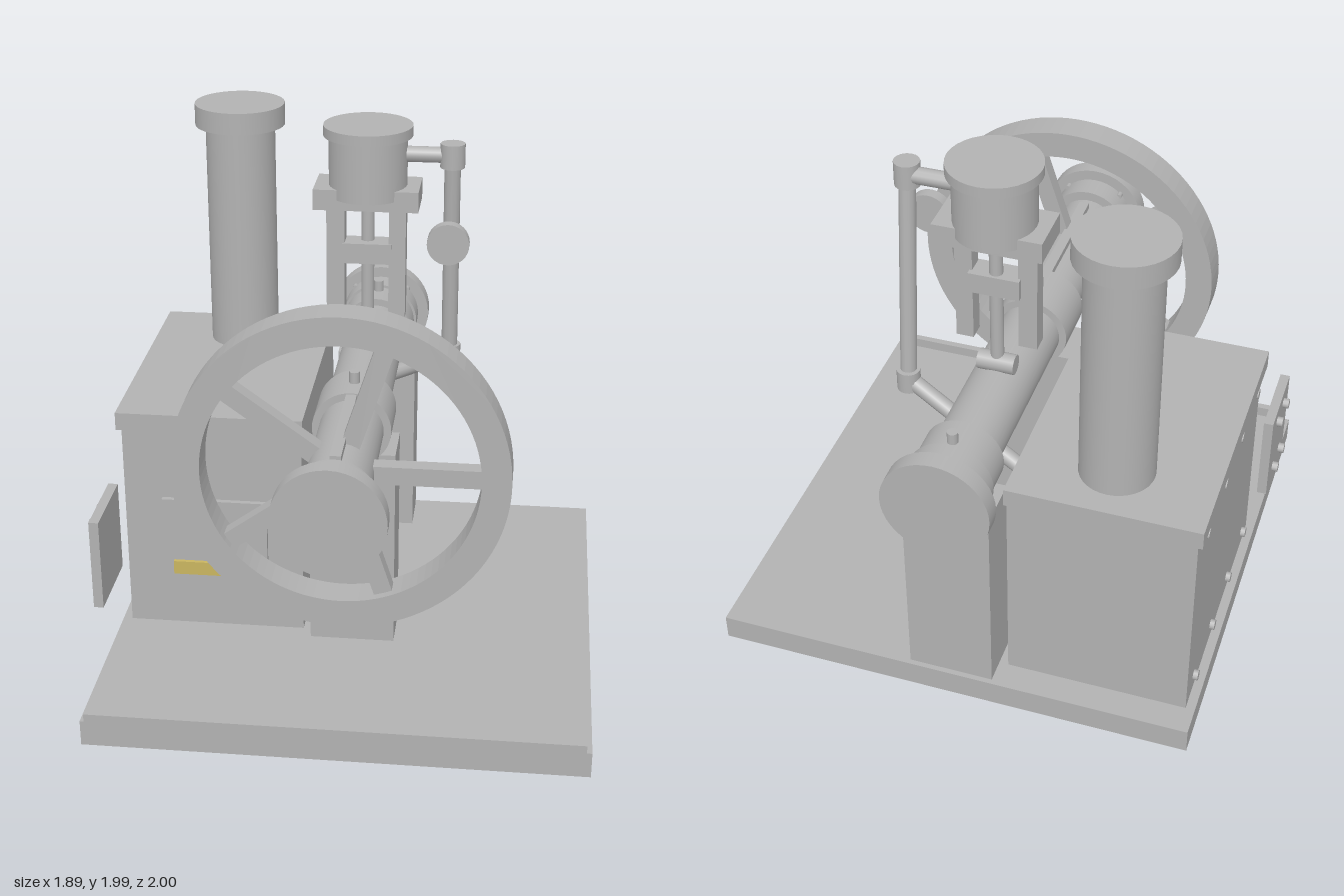
import * as THREE from 'three';

const steel = new THREE.MeshStandardMaterial({ color: 0xb2b2b2 });
steel.name = 'grey steel';
const brass = new THREE.MeshStandardMaterial({ color: 0xc9b560 });
brass.name = 'brass';

const AX = 0.025; // x of the main shaft and vertical cylinder
const AY = 1.0;   // height of the main shaft
const CZ = -0.325; // z of the vertical cylinder

export function createModel() {
  const model = new THREE.Group();
  model.name = 'steamEngine';

  const add = (name, geometry, material = steel, parent = model) => {
    const mesh = new THREE.Mesh(geometry, material);
    mesh.name = name;
    parent.add(mesh);
    return mesh;
  };
  // Box given by its minimum and maximum on each axis
  const box = (name, x0, x1, y0, y1, z0, z1, material) => {
    const mesh = add(name, new THREE.BoxGeometry(x1 - x0, y1 - y0, z1 - z0), material);
    mesh.position.set((x0 + x1) / 2, (y0 + y1) / 2, (z0 + z1) / 2);
    return mesh;
  };
  // Round bar between two points
  const rod = (name, a, b, r, sides = 32) => {
    const p = new THREE.Vector3(...a), q = new THREE.Vector3(...b);
    const d = q.clone().sub(p);
    const mesh = add(name, new THREE.CylinderGeometry(r, r, d.length(), sides));
    mesh.position.copy(p).add(q).multiplyScalar(0.5);
    mesh.quaternion.setFromUnitVectors(new THREE.Vector3(0, 1, 0), d.normalize());
    return mesh;
  };
  const shaftPart = (name, z0, z1, r) => rod(name, [AX, AY, z0], [AX, AY, z1], r, 40);

  // Base and front strip
  box('base', -0.89, 0.945, 0, 0.1, -0.92, 0.92);
  box('frontStrip', -0.87, 0.925, 0.06, 0.143, 0.91, 0.938);

  // Boiler box, lid, fire door and riveted side
  box('boilerBox', -0.855, -0.17, 0.1, 0.93, -0.81, 0.205);
  box('boilerLid', -0.875, -0.165, 0.93, 1.0, -0.83, 0.215);
  box('fireDoor', -0.71, -0.305, 0.32, 0.65, 0.2, 0.225);
  box('doorBar', -0.67, -0.355, 0.335, 0.39, 0.22, 0.24, brass);
  for (const y of [0.165, 0.885])
    for (let i = 0; i < 4; i++) {
      const z = -0.7 + i * 0.265;
      rod('boilerRivet', [-0.85, y, z], [-0.873, y, z], 0.02, 12);
    }

  // Side plate with four bolts
  box('sidePlate', -0.927, -0.89, 0.32, 0.68, 0.175, 0.495);
  for (const y of [0.385, 0.62])
    for (const z of [0.275, 0.395])
      rod('plateBolt', [-0.92, y, z], [-0.95, y, z], 0.02, 12);

  // Chimney
  rod('chimney', [-0.51, 1.0, -0.605], [-0.51, 1.92, -0.605], 0.137);
  rod('chimneyCap', [-0.51, 1.9, -0.605], [-0.51, 1.985, -0.605], 0.177);

  // Main shaft with flanges, collars and bearing posts
  shaftPart('shaft', -0.95, 0.95, 0.119);
  for (const s of [-1, 1]) {
    shaftPart('endFlange', s * 0.93, s, 0.2);
    shaftPart('endCollar', s * 0.83, s * 0.935, 0.157);
    for (const dx of [-0.11, 0.11])
      for (const dy of [-0.11, 0.11])
        rod('flangeBolt', [AX + dx, AY + dy, s * 0.905], [AX + dx, AY + dy, s * 0.935], 0.012, 8);
  }
  shaftPart('frontBearing', 0.05, 0.265, 0.147);
  shaftPart('rearBearing', -0.84, -0.69, 0.147);
  box('frontPost', -0.135, 0.188, 0.1, 0.9, 0.06, 0.262);
  box('rearPost', -0.135, 0.188, 0.1, 0.9, -0.9, -0.7);
  for (const z of [0.16, -0.8]) rod('oilerPin', [AX, 1.12, z], [AX, 1.19, z], 0.02, 12);
  box('shaftKey', 0.005, 0.045, 1.1, 1.142, 0.25, 0.775);

  // Flywheel: rim and five spokes
  const flywheel = new THREE.Group();
  flywheel.name = 'flywheel';
  flywheel.position.set(AX, AY, 0.535);
  model.add(flywheel);
  const ring = new THREE.Shape().absarc(0, 0, 0.6, 0, Math.PI * 2, false);
  ring.holes.push(new THREE.Path().absarc(0, 0, 0.495, 0, Math.PI * 2, true));
  add('rim', new THREE.ExtrudeGeometry(ring, { depth: 0.123, bevelEnabled: false, curveSegments: 48 }), steel, flywheel);
  for (let i = 0; i < 5; i++) {
    const spoke = new THREE.BoxGeometry(0.42, 0.068, 0.06);
    spoke.translate(0.295, 0, 0.0615);
    add('spoke', spoke, steel, flywheel).rotation.z = i * Math.PI * 2 / 5;
  }

  // Vertical cylinder on its frame
  rod('cylinder', [AX, 1.72, CZ], [AX, 1.96, CZ], 0.15);
  rod('cylinderCap', [AX, 1.95, CZ], [AX, 1.99, CZ], 0.17);
  box('framePlate', -0.175, 0.225, 1.68, 1.76, -0.425, -0.222);
  box('frameLeg', -0.13, -0.06, 1.24, 1.69, -0.338, -0.272);
  box('frameLeg', 0.11, 0.175, 1.24, 1.69, -0.338, -0.272);
  box('crosshead', -0.07, 0.12, 1.455, 1.535, -0.36, -0.265);

  // Piston rod and crank joint
  rod('pistonRod', [AX, 1.15, CZ], [AX, 1.72, CZ], 0.025, 16);
  rod('crankPin', [-0.045, 1.14, CZ], [0.095, 1.14, CZ], 0.038, 16);

  // Valve linkage
  rod('valveArm', [AX + 0.13, 1.88, CZ], [0.345, 1.88, CZ], 0.031, 12);
  rod('upperJoint', [0.345, 1.835, -0.318], [0.345, 1.928, -0.318], 0.047, 16);
  rod('valveRod', [0.345, 1.88, -0.318], [0.345, 1.04, -0.4], 0.031, 12);
  rod('lowerJoint', [0.345, 1.0, -0.4], [0.345, 1.085, -0.4], 0.044, 16);
  rod('lowerLever', [0.345, 1.04, -0.4], [-0.155, 0.79, -0.5], 0.031, 12);

  // Round gauge
  rod('gauge', [0.345, 1.6, -0.145], [0.345, 1.6, -0.102], 0.079);

  return model;
}
